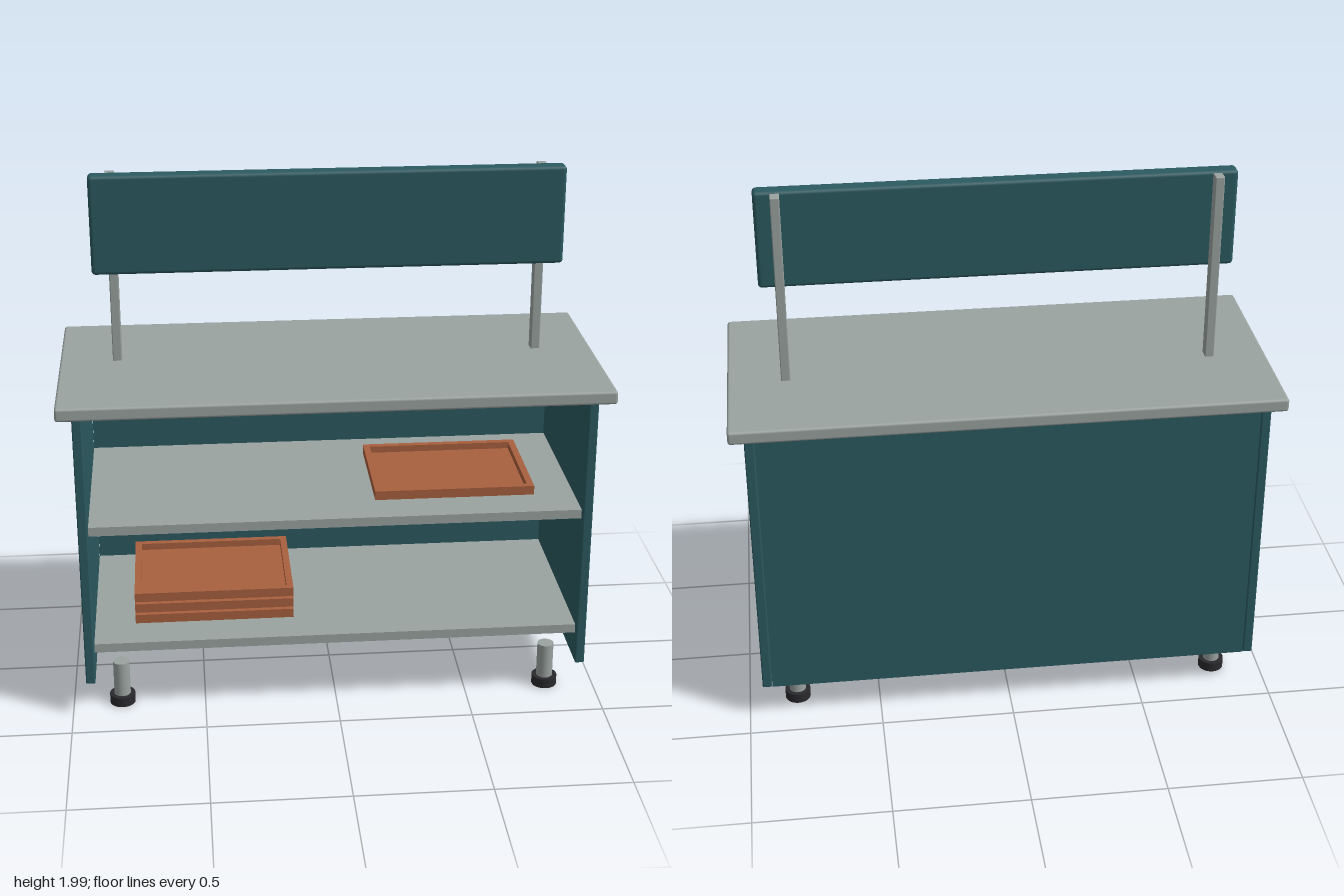
import * as THREE from 'three';
import { RoundedBoxGeometry } from 'three/addons/geometries/RoundedBoxGeometry.js';

const material = (name, color) => {
  const m = new THREE.MeshStandardMaterial({ color });
  m.name = name;
  return m;
};

export function createModel() {
  const teal = material('teal panel', 0x2b5a60);
  const grey = material('grey laminate', 0x9aa3a0);
  const orange = material('terracotta tray', 0xa8603f);
  const black = material('black rubber', 0x2a2a2e);

  const model = new THREE.Group();
  model.name = 'serviceCounter';

  const add = (parent, name, geometry, mat) => {
    const mesh = new THREE.Mesh(geometry, mat);
    mesh.name = name;
    parent.add(mesh);
    return mesh;
  };
  // Box given by its limits on each axis, with optional rounded edges
  const box = (parent, name, mat, [x0, x1], [y0, y1], [z0, z1], r = 0) => {
    const size = [x1 - x0, y1 - y0, z1 - z0];
    const geo = r ? new RoundedBoxGeometry(...size, 3, r) : new THREE.BoxGeometry(...size);
    const mesh = add(parent, name, geo, mat);
    mesh.position.set((x0 + x1) / 2, (y0 + y1) / 2, (z0 + z1) / 2);
    return mesh;
  };

  // Cabinet body
  box(model, 'countertop', grey, [-1, 1], [1.22, 1.27], [-0.44, 0.44], 0.01);
  box(model, 'backPanel', teal, [-0.908, 0.908], [0.14, 1.22], [-0.408, -0.375]);
  box(model, 'lowerShelf', grey, [-0.908, 0.908], [0.26, 0.295], [-0.375, 0.365]);
  box(model, 'upperShelf', grey, [-0.908, 0.908], [0.74, 0.775], [-0.375, 0.365]);

  for (const s of [-1, 1]) {
    const side = s > 0 ? 'left' : 'right';
    const span = (a, b) => (s > 0 ? [a, b] : [-b, -a]);
    box(model, side + 'SidePanel', teal, span(0.91, 0.945), [0.14, 1.22], [-0.41, 0.388], 0.005);
    box(model, side + 'SignPost', grey, span(0.77, 0.804), [1.265, 1.985], [-0.077, -0.032], 0.004);

    // Levelling feet
    for (const z of [0.283, -0.29]) {
      const foot = new THREE.Group();
      foot.name = side + (z > 0 ? 'Front' : 'Back') + 'Foot';
      foot.position.set(s * 0.815, 0, z);
      add(foot, 'stem', new THREE.CylinderGeometry(0.031, 0.031, 0.14, 32), grey).position.y = 0.105;
      add(foot, 'pad', new THREE.CylinderGeometry(0.048, 0.048, 0.038, 32), black).position.y = 0.019;
      model.add(foot);
    }
  }

  // Header board in front of the posts
  box(model, 'headerBoard', teal, [-0.864, 0.864], [1.623, 1.99], [-0.033, 0.031], 0.014);

  // Shallow trays: inset base, floor and four rim walls
  const tray = (name, x, y) => {
    const g = new THREE.Group();
    g.name = name;
    g.position.set(x, y, 0.01);
    const w = 0.3, d = 0.225, t = 0.025, low = 0.009, high = 0.044;
    box(g, 'base', orange, [-w + t, w - t], [0, 0.018], [-d + t, d - t]);
    for (const s of [-1, 1]) {
      const ends = s > 0 ? [w - t, w] : [-w, -w + t];
      const faces = s > 0 ? [d - t, d] : [-d, -d + t];
      box(g, 'endWall', orange, ends, [low, high], [-d, d]);
      box(g, 'longWall', orange, [-w + t, w - t], [low, high], faces);
    }
    model.add(g);
  };
  for (let i = 0; i < 3; i++) tray('stackedTray' + (i + 1), -0.455, 0.297 + i * 0.045);
  tray('upperTray', 0.453, 0.775);

  return model;
}
